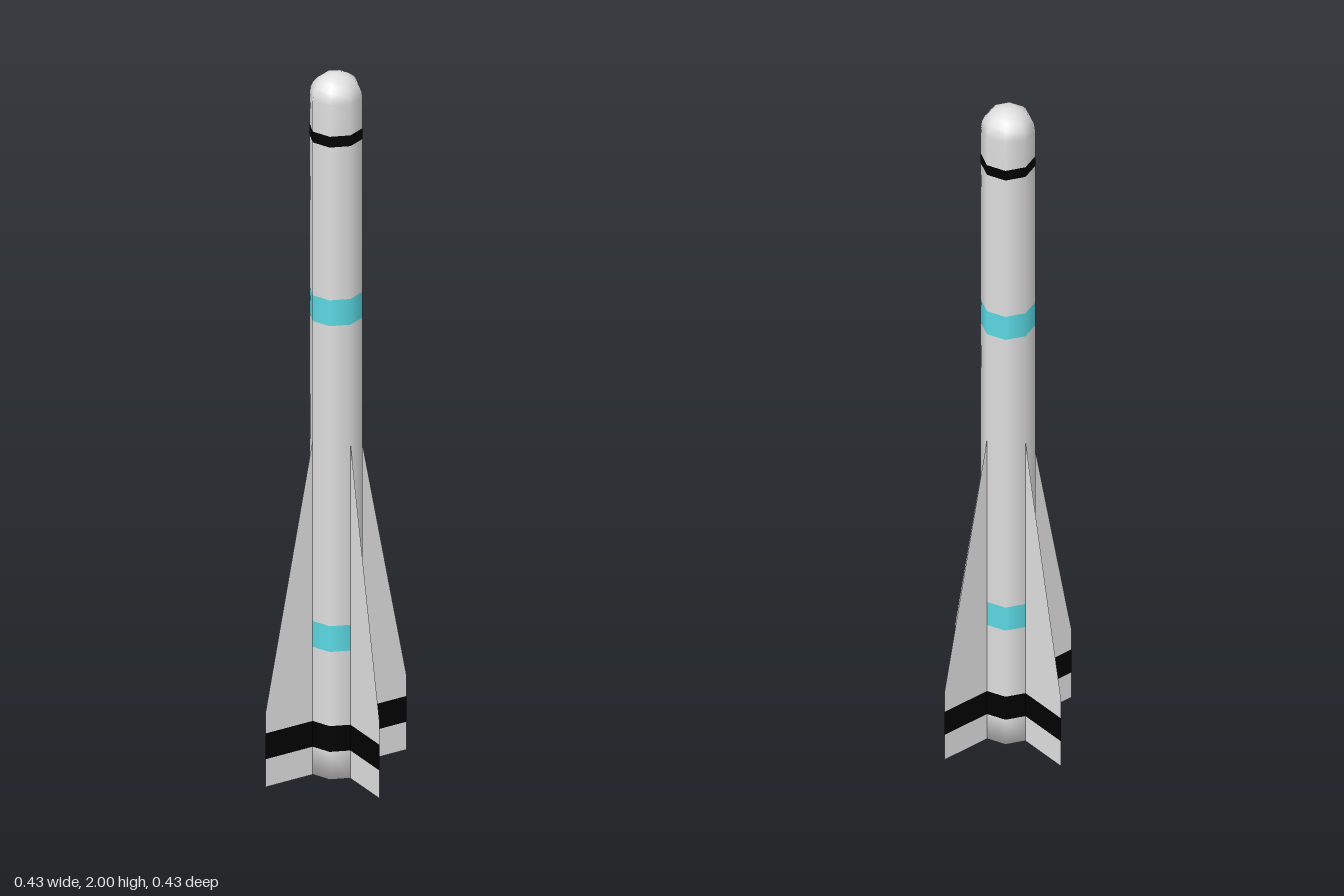
import * as THREE from 'three';

const R = 0.071;          // body radius
const FIN_R = 0.215;      // fin span from the axis

const paint = (name, color) => {
  const m = new THREE.MeshStandardMaterial({ color, side: THREE.DoubleSide });
  m.name = name;
  return m;
};

export function createModel() {
  const group = new THREE.Group();
  group.name = 'rocket';
  const grey = paint('light grey', 0xe0e0e0);
  const black = paint('black', 0x010101);
  const cyan = paint('cyan', 0x5cdae4);

  const add = (parent, name, geo, mat) => {
    const mesh = new THREE.Mesh(geo, mat);
    mesh.name = name;
    parent.add(mesh);
  };

  // Eight-sided turned part with smooth, unit-length normals
  const turned = (points) => {
    const geo = new THREE.LatheGeometry(points.map(([r, y]) => new THREE.Vector2(r, y)), 8);
    geo.normalizeNormals();
    return geo;
  };

  // Closed base and body, in painted bands
  add(group, 'base', turned([[0, 0], [R, 0], [R, 0.08]]), grey);
  const bands = [
    ['baseBlackBand', 0.08, 0.154, black],
    ['lowerBody', 0.154, 0.367, grey],
    ['lowerCyanBand', 0.367, 0.441, cyan],
    ['middleBody', 0.441, 1.303, grey],
    ['upperCyanBand', 1.303, 1.377, cyan],
    ['neck', 1.377, 1.816, grey],
    ['upperBlackBand', 1.816, 1.847, black],
  ];
  for (const [name, y0, y1, mat] of bands) add(group, name, turned([[R, y0], [R, y1]]), mat);

  // Rounded nose with its straight collar
  const nose = [[R, 1.847]];
  for (let i = 0; i <= 6; i++) {
    const a = i / 6 * Math.PI / 2;
    nose.push([i === 6 ? 0 : R * Math.cos(a), 1.935 + 0.065 * Math.sin(a)]);
  }
  add(group, 'nose', turned(nose), grey);

  // Four sheet fins on the x and z axes, each with a black band
  const finParts = [
    ['finFoot', grey, [[R, 0], [FIN_R, 0], [FIN_R, 0.08], [R, 0.08]]],
    ['finBand', black, [[R, 0.08], [FIN_R, 0.08], [FIN_R, 0.154], [R, 0.154]]],
    ['finBlade', grey, [[R, 0.154], [FIN_R, 0.154], [FIN_R, 0.215], [R, 0.963]]],
  ].map(([name, mat, pts]) => [
    name, new THREE.ShapeGeometry(new THREE.Shape(pts.map(([x, y]) => new THREE.Vector2(x, y)))), mat,
  ]);
  for (let k = 0; k < 4; k++) {
    const fin = new THREE.Group();
    fin.name = 'fin' + (k + 1);
    fin.rotation.y = k * Math.PI / 2;
    for (const part of finParts) add(fin, ...part);
    group.add(fin);
  }

  return group;
}
